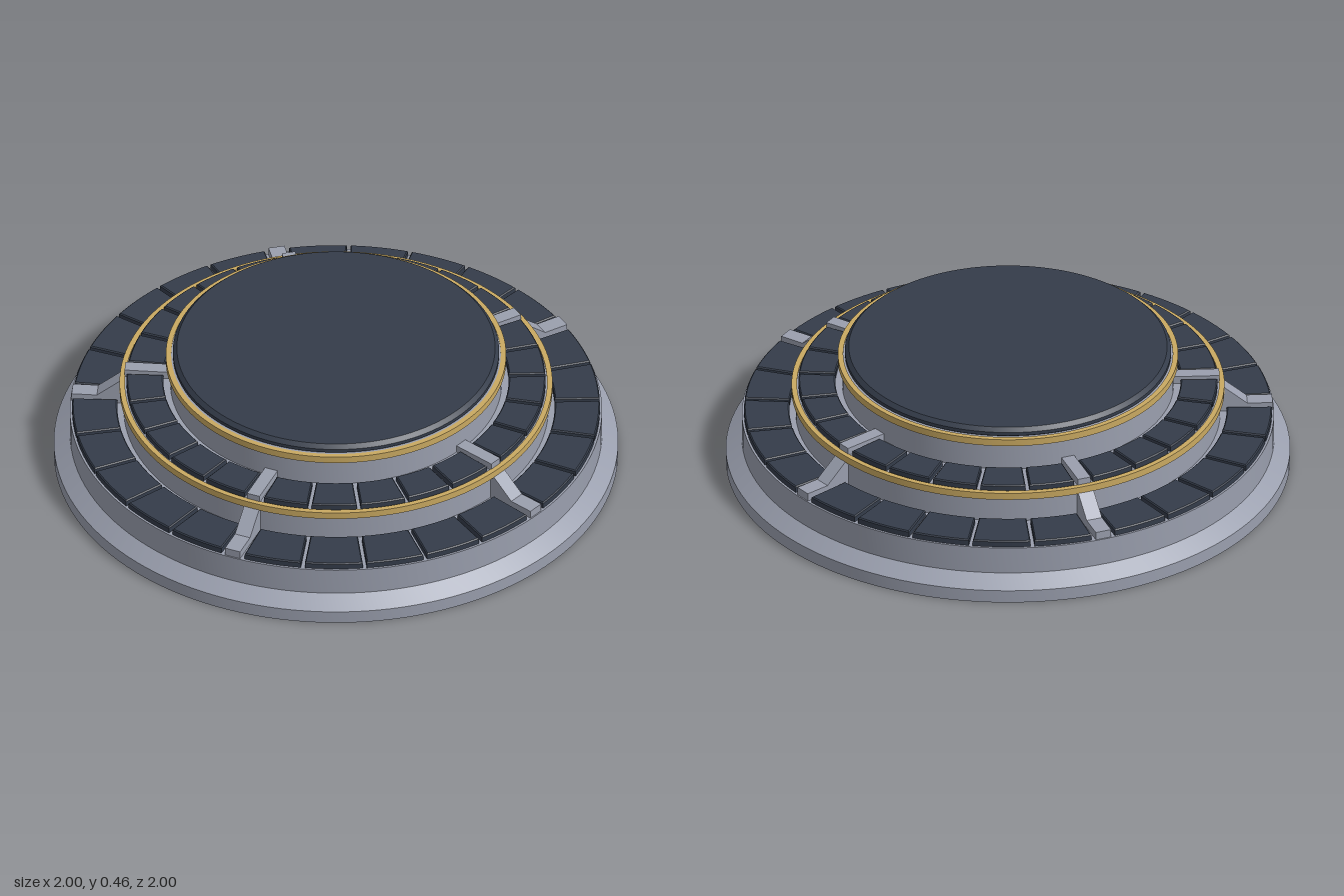
import * as THREE from 'three';
import { toCreasedNormals } from 'three/addons/utils/BufferGeometryUtils.js';

const mat = (name, color) => {
  const m = new THREE.MeshStandardMaterial({ color });
  m.name = name;
  return m;
};

export function createModel() {
  const grey = mat('stone grey', 0x9a9fae);
  const dark = mat('dark slate', 0x343c4a);
  const gold = mat('gold trim', 0xc9a961);
  const model = new THREE.Group();
  model.name = 'tieredPedestal';

  const add = (parent, name, geometry, material) => {
    const mesh = new THREE.Mesh(geometry, material);
    mesh.name = name;
    parent.add(mesh);
    return mesh;
  };

  // Turned part from [radius, height] pairs, listed bottom to top on the outside
  const turned = (name, pairs, material) => {
    const points = pairs.map(([r, y]) => new THREE.Vector2(r, y));
    return add(model, name, toCreasedNormals(new THREE.LatheGeometry(points, 128), 0.4), material);
  };

  // Stacked tiers
  turned('base', [[0, 0], [1, 0], [1, 0.048], [0.943, 0.088], [0.943, 0.19], [0, 0.19]], grey);
  turned('middleTier', [[0.752, 0.185], [0.752, 0.306], [0, 0.306]], grey);
  turned('topTier', [[0.587, 0.3], [0.587, 0.432], [0, 0.432]], grey);
  turned('topPlate', [[0.568, 0.43], [0.578, 0.437], [0.578, 0.45], [0.564, 0.464], [0, 0.464]], dark);

  // Gold bands around the tier rims
  const band = (name, inner, outer, y0, y1) =>
    turned(name, [[inner, y0], [outer, y0], [outer, y1], [inner, y1], [inner, y0]], gold);
  band('middleBand', 0.748, 0.767, 0.285, 0.311);
  band('topBand', 0.584, 0.603, 0.409, 0.435);

  // Curved paving tile, centred on +x
  const tileGeometry = (inner, outer, pitch, gap, height) => {
    const bevel = 0.004;
    const r0 = inner + bevel, r1 = outer - bevel;
    const a0 = pitch / 2 - (gap / 2 + bevel) / r0;
    const a1 = pitch / 2 - (gap / 2 + bevel) / r1;
    const shape = new THREE.Shape();
    shape.absarc(0, 0, r1, -a1, a1, false);
    shape.absarc(0, 0, r0, a0, -a0, true);
    shape.closePath();
    const g = new THREE.ExtrudeGeometry(shape, {
      depth: height - bevel, curveSegments: 8,
      bevelThickness: bevel, bevelSize: bevel, bevelSegments: 1,
    });
    return g.rotateX(-Math.PI / 2);
  };

  // Rib from a side profile of [radius, height] pairs
  const ribGeometry = (pairs, width) => {
    const shape = new THREE.Shape(pairs.map(([r, y]) => new THREE.Vector2(r, y)));
    const g = new THREE.ExtrudeGeometry(shape, { depth: width, bevelEnabled: false });
    return g.translate(0, 0, -width / 2);
  };

  const SECTORS = 5, TILES = 5;
  const sector = (Math.PI * 2) / SECTORS;
  const margin = THREE.MathUtils.degToRad(2.3);
  const pitch = (sector - 2 * margin) / TILES;

  const lowerTile = tileGeometry(0.775, 0.935, pitch, 0.014, 0.024);
  const upperTile = tileGeometry(0.612, 0.742, pitch, 0.014, 0.024);
  const lowerRib = ribGeometry(
    [[0.74, 0.18], [0.938, 0.18], [0.938, 0.22], [0.848, 0.22], [0.765, 0.288], [0.74, 0.3]], 0.058);
  const upperRib = ribGeometry([[0.58, 0.3], [0.75, 0.3], [0.75, 0.334], [0.58, 0.334]], 0.048);

  // Five sectors, each with one rib pair and two rows of tiles
  for (let s = 0; s < SECTORS; s++) {
    const group = new THREE.Group();
    group.name = 'sector' + (s + 1);
    group.rotation.y = s * sector;
    model.add(group);
    add(group, 'lowerRib', lowerRib, grey);
    add(group, 'upperRib', upperRib, grey);
    for (let t = 0; t < TILES; t++) {
      const angle = margin + (t + 0.5) * pitch;
      const low = add(group, 'lowerTile', lowerTile, dark);
      low.position.y = 0.19;
      low.rotation.y = angle;
      const up = add(group, 'upperTile', upperTile, dark);
      up.position.y = 0.305;
      up.rotation.y = angle;
    }
  }
  return model;
}
